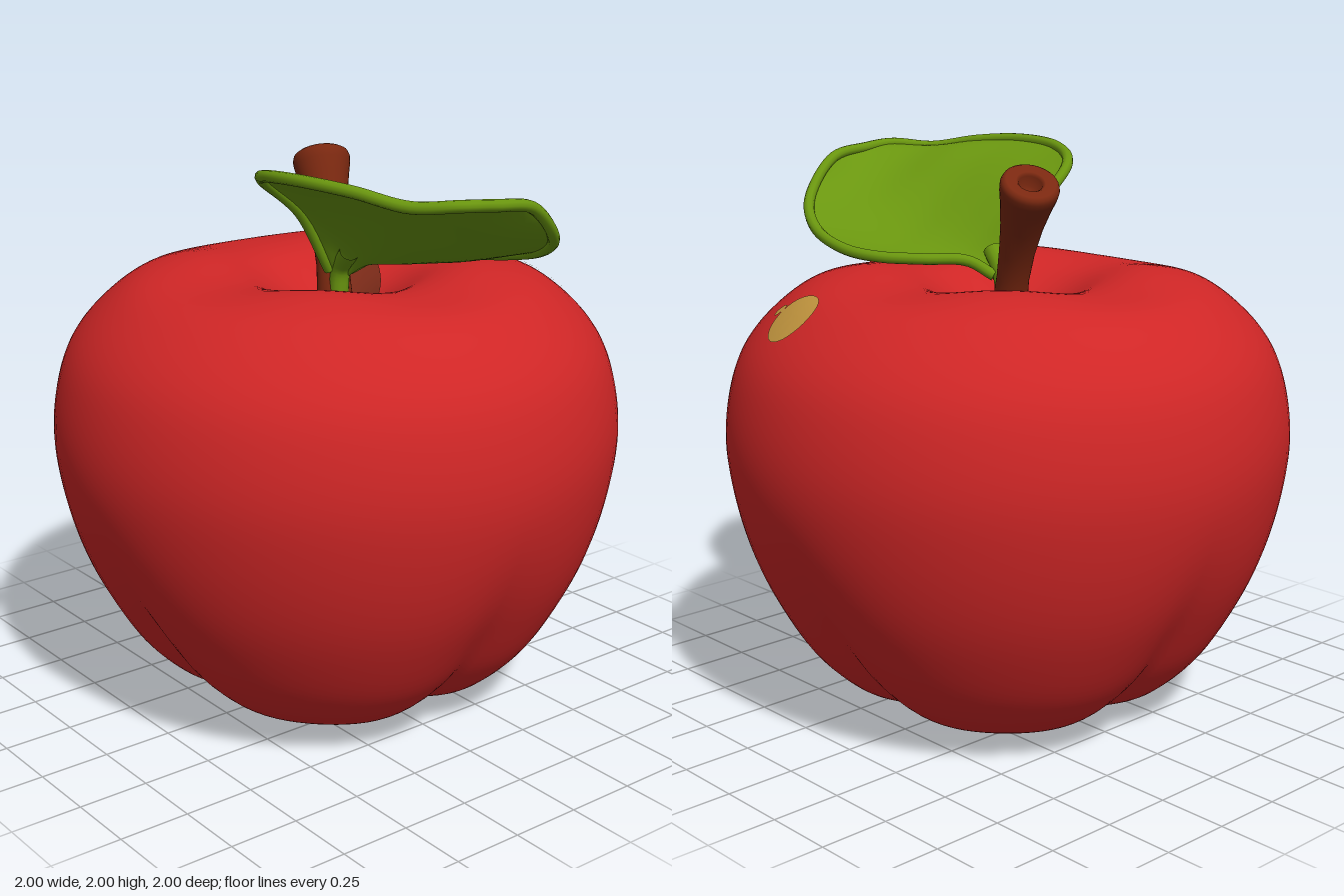
import * as THREE from 'three';
import { mergeVertices } from 'three/addons/utils/BufferGeometryUtils.js';

const mat = (name, color, side = THREE.FrontSide) => {
  const m = new THREE.MeshStandardMaterial({ color, side });
  m.name = name;
  return m;
};
const v2 = (list) => list.map(([x, y]) => new THREE.Vector2(x, y));
const curve3 = (list) => new THREE.CatmullRomCurve3(list.map((p) => new THREE.Vector3(...p)));

// Welds the seam and gives smooth normals
function smooth(geo) {
  geo.deleteAttribute('uv');
  geo.deleteAttribute('normal');
  const g = mergeVertices(geo, 1e-4);
  g.computeVertexNormals();
  return g;
}

// Applies a rule to every vertex
function reshape(geo, rule) {
  const pos = geo.attributes.position;
  const p = new THREE.Vector3();
  for (let i = 0; i < pos.count; i++) {
    p.fromBufferAttribute(pos, i);
    rule(p, i);
    pos.setXYZ(i, p.x, p.y, p.z);
  }
  return geo;
}

// Lathed body with four lobes: creased grooves below, soft dips in the top rim
function appleGeometry() {
  const profile = new THREE.SplineCurve(v2([
    [0, 0.14], [0.06, 0.09], [0.16, 0.03], [0.33, 0], [0.48, 0.04], [0.6, 0.11], [0.73, 0.24],
    [0.84, 0.42], [0.92, 0.6], [0.975, 0.8], [1, 1], [0.98, 1.18], [0.925, 1.33], [0.82, 1.455],
    [0.68, 1.55], [0.5, 1.59], [0.35, 1.565], [0.22, 1.49], [0.1, 1.4], [0, 1.37],
  ])).getPoints(110);
  profile[0].x = profile[110].x = 0;
  const geo = new THREE.LatheGeometry(profile, 96);
  const normal = geo.attributes.normal;
  const n = new THREE.Vector3();
  reshape(geo, (p, i) => {
    const r = Math.hypot(p.x, p.z);
    const angle = Math.atan2(p.x, p.z);
    const groove = (1 - Math.abs(Math.sin(2 * angle))) ** 2;
    const low = 1 - THREE.MathUtils.smoothstep(p.y, 0.2, 0.95);
    const depth = 0.065 * groove * low * THREE.MathUtils.smoothstep(r, 0, 0.2);
    const rim = p.y > 1.3 ? Math.exp(-(((r - 0.5) / 0.2) ** 2)) : 0;
    n.fromBufferAttribute(normal, i);
    p.addScaledVector(n, -depth);
    p.y -= 0.016 * (1 + Math.cos(4 * angle)) * rim;
  });
  return smooth(geo);
}

// Thin elliptical patch laid on the body from above or below
function patch(body, name, material, [cx, cz], [rx, rz], turn = 0, below = false) {
  const ray = new THREE.Raycaster();
  const dir = new THREE.Vector3(0, below ? 1 : -1, 0);
  const geo = new THREE.RingGeometry(0, 1, 32, 5);
  reshape(geo, (p) => {
    const a = p.x * rx;
    const b = p.y * rz * (below ? 1 : -1);
    const x = cx + a * Math.cos(turn) - b * Math.sin(turn) + 0.0007;
    const z = cz + a * Math.sin(turn) + b * Math.cos(turn) + 0.0003;
    ray.set(new THREE.Vector3(x, below ? -1 : 3, z), dir);
    const hit = ray.intersectObject(body)[0];
    if (hit) p.copy(hit.point).addScaledVector(hit.face.normal, 0.005);
    else p.set(x, below ? 0 : 1.4, z);
  });
  const mesh = new THREE.Mesh(smooth(geo), material);
  mesh.name = name;
  return mesh;
}

// Flared stem with a hollow end, bent along its lean direction
function stemGeometry() {
  const geo = new THREE.LatheGeometry(v2([
    [0.075, 0], [0.062, 0.1], [0.057, 0.2], [0.062, 0.3], [0.074, 0.4], [0.09, 0.48], [0.1, 0.52],
    [0.102, 0.54], [0.097, 0.553], [0.085, 0.56], [0.05, 0.558], [0.04, 0.55], [0.034, 0.52], [0, 0.515],
  ]), 32);
  const lean = new THREE.Vector2(0.43, -0.9).normalize();
  reshape(geo, (p) => {
    const h = p.y;
    const tilt = Math.atan(0.88 * h ** 0.48);
    const out = 0.6 * h ** 1.48 + p.x * Math.cos(tilt);
    p.set(
      out * lean.x - p.z * lean.y,
      1.36 + h - p.x * Math.sin(tilt),
      out * lean.y + p.z * lean.x,
    );
  });
  return smooth(geo);
}

// Curled leaf: a sheet through two edges and a midrib, with a rounded rim and a stalk
function makeLeaf(material) {
  const leftPts = [[-0.03, 1.56, 0], [-0.17, 1.78, 0.02], [-0.36, 1.92, 0.07], [-0.45, 1.965, 0.22],
    [-0.455, 1.978, 0.42], [-0.4, 1.965, 0.6], [-0.32, 1.935, 0.77], [-0.22, 1.945, 0.89]];
  const midPts = [[0, 1.52, 0.03], [-0.02, 1.63, 0.1], [-0.05, 1.69, 0.2], [-0.08, 1.74, 0.33],
    [-0.1, 1.78, 0.47], [-0.11, 1.83, 0.62], [-0.13, 1.88, 0.77], [-0.1, 1.935, 0.905]];
  const rightPts = [[0.03, 1.56, 0.04], [0.09, 1.61, 0.11], [0.22, 1.62, 0.2], [0.32, 1.625, 0.32],
    [0.36, 1.64, 0.46], [0.335, 1.69, 0.66], [0.23, 1.78, 0.83], [0.06, 1.91, 0.9]];
  const [left, mid, right] = [leftPts, midPts, rightPts].map(curve3);
  const sheet = new THREE.PlaneGeometry(1, 1, 40, 24);
  const uv = sheet.attributes.uv;
  reshape(sheet, (p, i) => {
    const u = uv.getX(i);
    const v = uv.getY(i) * 2 - 1;
    p.set(0, 0, 0)
      .addScaledVector(left.getPoint(u), (v * (v - 1)) / 2)
      .addScaledVector(mid.getPoint(u), 1 - v * v)
      .addScaledVector(right.getPoint(u), (v * (v + 1)) / 2);
    p.y -= 0.045 * Math.sin(Math.PI * v) * Math.sin(Math.PI * u);
  });
  const edge = curve3([...leftPts, midPts[7], ...[...rightPts].reverse()]);
  const stalk = curve3([[0, 1.36, 0.01], [0, 1.48, 0.015], [0, 1.57, 0.03], [-0.02, 1.64, 0.1]]);
  const group = new THREE.Group();
  group.name = 'leaf';
  const parts = {
    leafBlade: smooth(sheet),
    leafRim: new THREE.TubeGeometry(edge, 120, 0.02, 10),
    leafStalk: new THREE.TubeGeometry(stalk, 16, 0.035, 12),
  };
  for (const [name, geo] of Object.entries(parts)) {
    const mesh = new THREE.Mesh(geo, material);
    mesh.name = name;
    group.add(mesh);
  }
  return group;
}

export function createModel() {
  const red = mat('apple red', 0xcf2626);
  const green = mat('leaf green', 0x6a960f, THREE.DoubleSide);
  const brown = mat('stem brown', 0x7a2810);
  const tan = mat('spot tan', 0xc4973f);
  const dark = mat('pad dark brown', 0x4a260f);
  const shade = mat('hollow brown', 0x7a2a18);

  const model = new THREE.Group();
  model.name = 'apple';
  const body = new THREE.Mesh(appleGeometry(), red);
  body.name = 'body';
  const stem = new THREE.Mesh(stemGeometry(), brown);
  stem.name = 'stem';
  model.add(body, stem, makeLeaf(green));

  // Painted marks on the skin
  model.add(
    patch(body, 'largeSpot', tan, [0.745, 0.25], [0.085, 0.115], 0.5),
    patch(body, 'smallSpot', tan, [0.7, 0.38], [0.02, 0.025]),
    patch(body, 'stemHollowMark', shade, [0.17, -0.07], [0.07, 0.17], 0.6),
  );
  // Dark pads under the four lobes
  for (const sx of [-1, 1]) {
    for (const sz of [-1, 1]) {
      const r = sx > 0 && sz < 0 ? 0.155 : 0.135;
      model.add(patch(body, 'footPad', dark, [sx * 0.235, sz * 0.235], [r, r], 0.1, true));
    }
  }
  return model;
}
